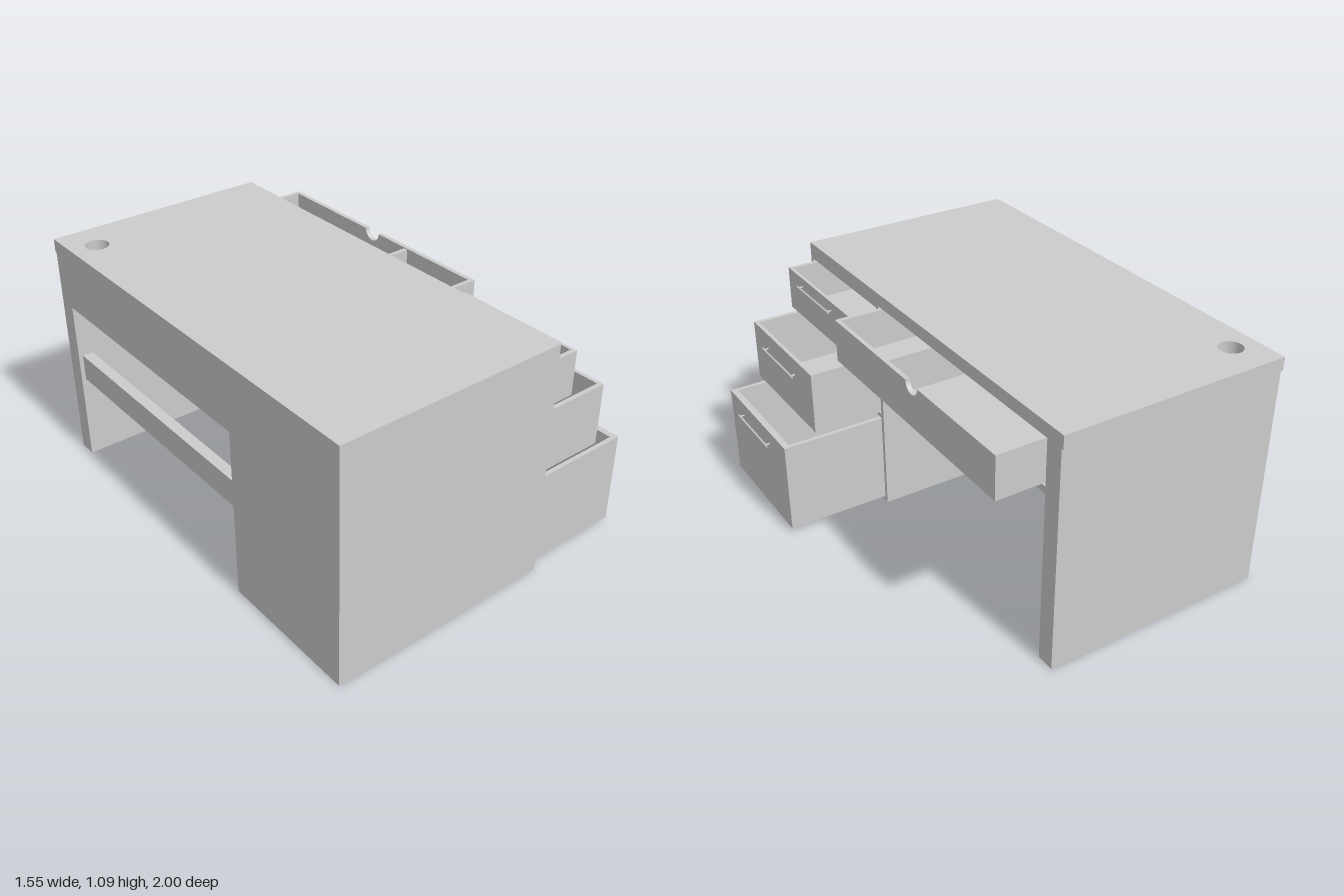
import * as THREE from 'three';

const material = new THREE.MeshStandardMaterial({ color: 0xcccccc });

function add(parent, name, geometry) {
  const mesh = new THREE.Mesh(geometry, material);
  mesh.name = name;
  parent.add(mesh);
  return mesh;
}

// Box given by its limits on each axis
function board(parent, name, [x0, x1], [y0, y1], [z0, z1]) {
  const mesh = add(parent, name, new THREE.BoxGeometry(x1 - x0, y1 - y0, z1 - z0));
  mesh.position.set((x0 + x1) / 2, (y0 + y1) / 2, (z0 + z1) / 2);
  return mesh;
}

function rod(parent, name, length, radius, position, axis) {
  const mesh = add(parent, name, new THREE.CylinderGeometry(radius, radius, length, 10));
  if (axis === 'x') mesh.rotation.z = Math.PI / 2;
  else mesh.rotation.x = Math.PI / 2;
  mesh.position.set(...position);
}

// Open tray: floor, two sides and a back; the front is added separately
function tray(parent, back, front, [y0, y1], [z0, z1], wall) {
  board(parent, 'drawerFloor', [back, front], [y0, y0 + 0.02], [z0, z1]);
  board(parent, 'drawerSide', [back, front], [y0 + 0.02, y1], [z0, z0 + wall]);
  board(parent, 'drawerSide', [back, front], [y0 + 0.02, y1], [z1 - wall, z1]);
  board(parent, 'drawerBack', [back, back + wall], [y0 + 0.02, y1], [z0 + wall, z1 - wall]);
}

const BACK = -0.78, FRONT = 0.27, DEPTH = [BACK, FRONT];

// Table top with a round cable hole
function tableTop(parent) {
  const shape = new THREE.Shape();
  shape.moveTo(BACK, -1).lineTo(FRONT, -1).lineTo(FRONT, 1).lineTo(BACK, 1).closePath();
  const hole = new THREE.Path();
  hole.absarc(-0.66, 0.83, 0.052, 0, Math.PI * 2, true);
  shape.holes.push(hole);
  const geometry = new THREE.ExtrudeGeometry(shape, { depth: 0.06, bevelEnabled: false, curveSegments: 32 });
  geometry.rotateX(-Math.PI / 2).translate(0, 1.03, 0);
  add(parent, 'tableTop', geometry);
}

// Cabinet of three bays, open to the front
function pedestal(parent) {
  const group = new THREE.Group();
  group.name = 'pedestal';
  board(group, 'outerSide', DEPTH, [0, 1.03], [0.98, 1]);
  board(group, 'innerSide', DEPTH, [0, 1.03], [0.34, 0.36]);
  board(group, 'pedestalBack', [BACK, BACK + 0.02], [0, 1.03], [0.36, 0.98]);
  for (const [y0, y1] of [[0, 0.015], [0.46, 0.48], [0.785, 0.795], [1.015, 1.03]])
    board(group, 'shelf', [BACK + 0.02, FRONT], [y0, y1], [0.36, 0.98]);
  parent.add(group);
}

// Drawer with a bar handle
function pedestalDrawer(parent, { name, front, y, wall, handleY }) {
  const group = new THREE.Group();
  group.name = name;
  const z = [0.365, 0.975];
  tray(group, front - 0.98, front - wall, y, z, 0.02);
  board(group, 'drawerFront', [front - wall, front], y, z);
  for (const pz of [0.54, 0.83]) rod(group, 'handlePost', 0.024, 0.004, [front + 0.01, handleY, pz], 'x');
  rod(group, 'handleBar', 0.32, 0.005, [front + 0.02, handleY, 0.685], 'z');
  parent.add(group);
}

// Wide shallow drawer with a half-round finger notch
function wideDrawer(parent) {
  const group = new THREE.Group();
  group.name = 'wideDrawer';
  const y0 = 0.83, y1 = 1.023, z0 = -0.893, z1 = 0.335, front = 0.48, wall = 0.02;
  tray(group, -0.5, front - wall, [y0, y1], [z0, z1], wall);
  board(group, 'drawerDivider', [-0.48, front - wall], [y0 + 0.02, y1 - 0.005], [-0.09, -0.07]);
  const shape = new THREE.Shape();
  shape.moveTo(-z1, y0).lineTo(-z0, y0).lineTo(-z0, y1).lineTo(0.31 + 0.045, y1);
  shape.absarc(0.31, y1, 0.045, 0, -Math.PI, true);
  shape.lineTo(-z1, y1).closePath();
  const geometry = new THREE.ExtrudeGeometry(shape, { depth: wall, bevelEnabled: false, curveSegments: 20 });
  geometry.rotateY(Math.PI / 2).translate(front - wall, 0, 0);
  add(group, 'drawerFront', geometry);
  parent.add(group);
}

export function createModel() {
  const desk = new THREE.Group();
  desk.name = 'desk';
  tableTop(desk);
  pedestal(desk);
  board(desk, 'legPanel', DEPTH, [0, 1.03], [-0.99, -0.905]);

  // Housing of the wide drawer and the rear stretcher
  board(desk, 'housingFloor', DEPTH, [0.79, 0.822], [-0.905, 0.34]);
  board(desk, 'housingBack', [BACK, BACK + 0.02], [0.822, 1.03], [-0.905, 0.34]);
  board(desk, 'stretcher', [-0.76, -0.71], [0.41, 0.535], [-0.905, 0.34]);

  const drawers = [
    { name: 'topDrawer', front: 0.4, y: [0.802, 1.003], wall: 0.015, handleY: 0.96 },
    { name: 'middleDrawer', front: 0.597, y: [0.487, 0.775], wall: 0.018, handleY: 0.697 },
    { name: 'bottomDrawer', front: 0.75, y: [0.02, 0.453], wall: 0.03, handleY: 0.387 },
  ];
  for (const drawer of drawers) pedestalDrawer(desk, drawer);
  wideDrawer(desk);
  return desk;
}
